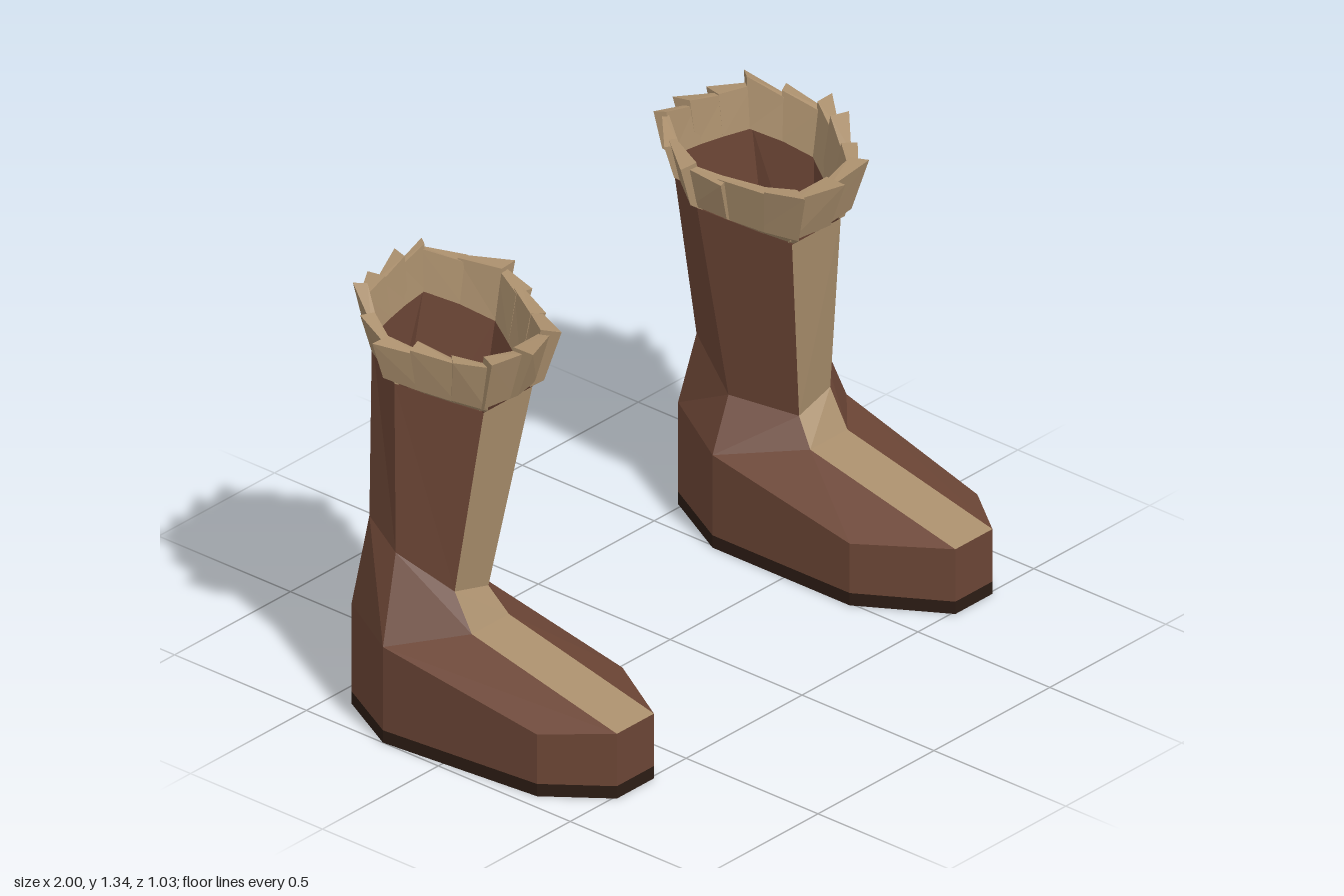
import * as THREE from 'three';

const paint = (color) => new THREE.MeshStandardMaterial({ color, flatShading: true, side: THREE.DoubleSide });
const leather = paint(0x6b4535);
const tan = paint(0xa98e6c);
const rubber = paint(0x2c1c14);

// Faceted mesh from convex polygons; side = -1 mirrors it across x = 0
function facets(name, polygons, material, side) {
  const pos = [];
  for (const poly of polygons) {
    for (let i = 1; i < poly.length - 1; i++) {
      const tri = side > 0 ? [poly[0], poly[i], poly[i + 1]] : [poly[0], poly[i + 1], poly[i]];
      for (const [x, y, z] of tri) pos.push(x * side, y, z);
    }
  }
  const geo = new THREE.BufferGeometry();
  geo.setAttribute('position', new THREE.Float32BufferAttribute(pos, 3));
  geo.computeVertexNormals();
  const mesh = new THREE.Mesh(geo, material);
  mesh.name = name;
  return mesh;
}

// Quads joining a lower ring to an upper ring
const loft = (low, high) => low.map((p, i) => {
  const j = (i + 1) % low.length;
  return [p, low[j], high[j], high[i]];
});

// Upper edge of the foot: toe, outer side, heel, inner side
const foot = [
  [0.65, 0.21, 0.51], [0.81, 0.21, 0.51], [0.95, 0.2, 0.33], [1, 0.31, -0.21],
  [0.885, 0.325, -0.43], [0.62, 0.33, -0.515], [0.49, 0.3, -0.27], [0.49, 0.2, 0.25],
];
// Six-sided rings of the leg, starting with the two front corners
const instep = [[0.65, 0.335, -0.04], [0.81, 0.335, -0.04], ...foot.slice(3, 7)];
const ankle = [
  [0.67, 0.415, -0.1], [0.81, 0.45, -0.105], [0.905, 0.565, -0.245],
  [0.865, 0.62, -0.38], [0.66, 0.55, -0.48], [0.57, 0.46, -0.28],
];
const rim = [
  [0.56, 1.04, -0.03], [0.77, 1.04, -0.03], [0.905, 1.11, -0.25],
  [0.82, 1.18, -0.41], [0.535, 1.19, -0.465], [0.435, 1.12, -0.28],
];

// Point around the rim (u counts corners), pushed outward and raised
function rimPoint(u, out, up) {
  const n = rim.length;
  const k = ((Math.floor(u) % n) + n) % n;
  const t = u - Math.floor(u);
  const p = rim[k].map((v, c) => THREE.MathUtils.lerp(v, rim[(k + 1) % n][c], t));
  const dx = p[0] - 0.68, dz = p[2] + 0.25;
  const len = Math.hypot(dx, dz);
  return [p[0] + (dx / len) * out, p[1] + up, p[2] + (dz / len) * out];
}

// Shingled fur tufts, each a flaring wedge standing out more at one end
function furPolygons() {
  const polygons = [];
  const tuftsPerEdge = [2, 3, 2, 3, 2, 3];
  let id = 0;
  tuftsPerEdge.forEach((count, edge) => {
    for (let i = 0; i < count; i++, id++) {
      const u0 = edge + (i - 0.08) / count;
      const u1 = edge + (i + 1.1) / count;
      const mid = rimPoint((u0 + u1) / 2, 0, 0);
      const front = THREE.MathUtils.clamp((mid[2] + 0.46) / 0.43, 0, 1);
      const wobble = Math.sin(id * 2.4);
      const height = 0.135 + 0.05 * front + 0.012 * wobble;
      const flare = 0.035 + 0.025 * front;
      const tip = 0.03 + 0.012 * Math.cos(id * 1.7);
      const column = (u, extra, drop) => [
        rimPoint(u, -0.002, 0.0),
        rimPoint(u, 0.016 + extra * 0.7, 0.012 + extra * 0.5),
        rimPoint(u, flare + extra, height - drop),
        rimPoint(u, flare * 0.5, height - drop),
      ];
      const a = column(u0, 0, 0.015 * (1 + wobble));
      const b = column(u1, tip, 0);
      for (let k = 0; k < 4; k++) {
        const m = (k + 1) % 4;
        polygons.push([a[k], b[k], b[m], a[m]]);
      }
      polygons.push(a, [...b].reverse());
    }
  });
  return polygons;
}

function boot(name, side) {
  const g = new THREE.Group();
  g.name = name;
  const level = (y) => foot.map(([x, , z]) => [x, y, z]);
  const ground = level(0), welt = level(0.04);

  g.add(facets('sole', [...loft(ground, welt), [...ground].reverse()], rubber, side));

  // Foot walls and the two sloping faces beside the toe strip
  g.add(facets('foot', [
    ...loft(welt, foot),
    [foot[1], foot[2], foot[3], instep[1]],
    [foot[7], foot[0], instep[0], foot[6]],
  ], leather, side));

  // The first face of each leg band belongs to the pale front strip
  const lower = loft(instep, ankle), upper = loft(ankle, rim);
  g.add(facets('shaft', [...lower.slice(1), ...upper.slice(1)], leather, side));
  g.add(facets('frontStrip', [
    [foot[0], foot[1], instep[1], instep[0]], lower[0], upper[0],
  ], tan, side));

  g.add(facets('furCuff', furPolygons(), tan, side));
  return g;
}

export function createModel() {
  const model = new THREE.Group();
  model.name = 'boots';
  model.add(boot('leftBoot', 1), boot('rightBoot', -1));
  return model;
}
